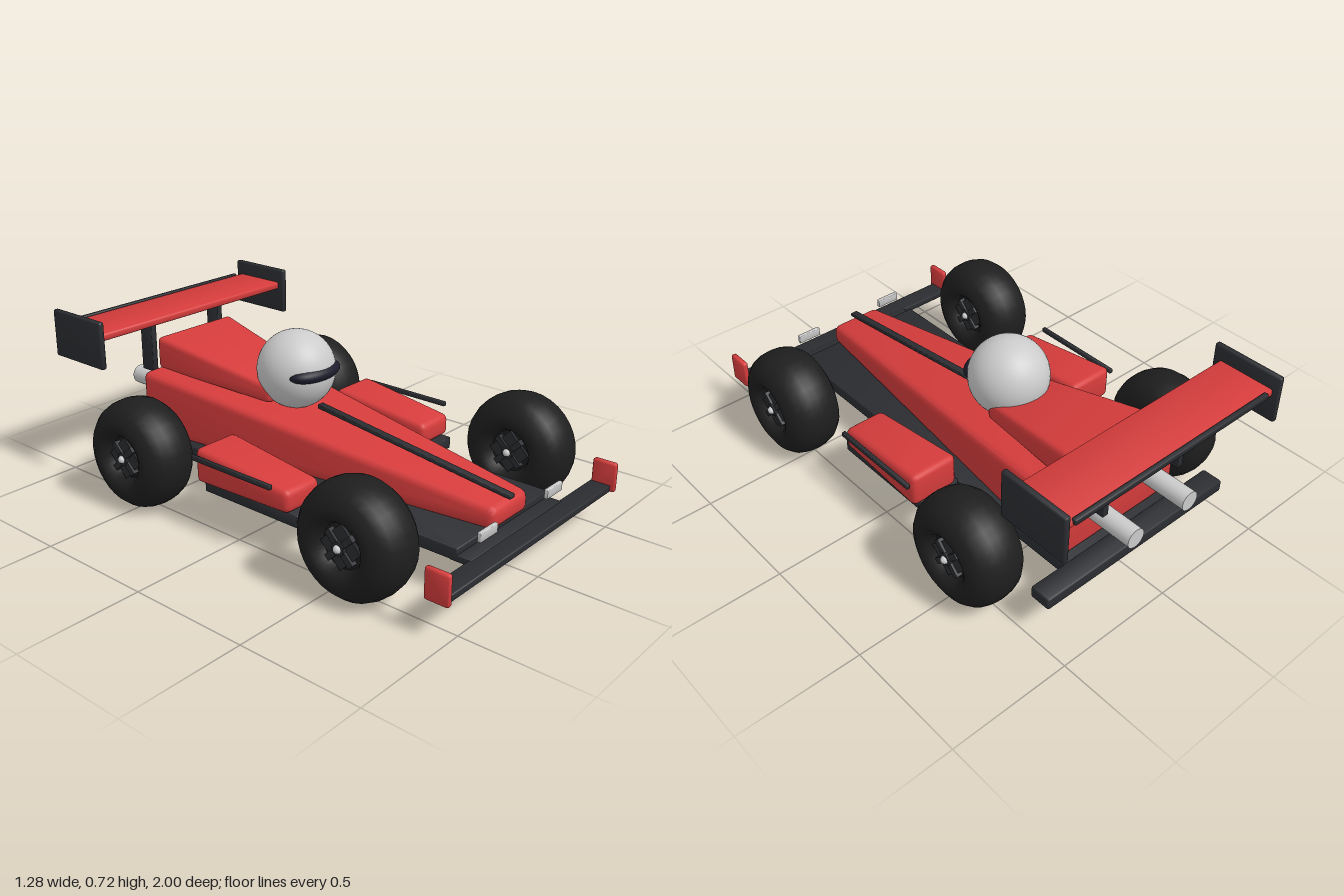
import * as THREE from 'three';
import { RoundedBoxGeometry } from 'three/addons/geometries/RoundedBoxGeometry.js';
import { toCreasedNormals } from 'three/addons/utils/BufferGeometryUtils.js';

const mat = (color) => new THREE.MeshStandardMaterial({ color });
const red = mat(0xd63c3c), dark = mat(0x2b2d31), rubber = mat(0x1e1e1f);
const white = mat(0xe8e8e8), grey = mat(0xcccccc), glass = mat(0x1c1c2c);

// Rounded box between a back and a front section [x0, x1, y0, y1]; bevel size stays constant
function taperedBox(back, front, z0, z1, r) {
  const g = new RoundedBoxGeometry(1, 1, 1, 2, r);
  const p = g.attributes.position;
  const place = (v, lo, hi) => (v > 0 ? hi + v - 0.5 : lo + v + 0.5);
  for (let i = 0; i < p.count; i++) {
    const z = place(p.getZ(i), z0, z1);
    const s = back.map((b, k) => THREE.MathUtils.lerp(b, front[k], (z - z0) / (z1 - z0)));
    p.setXYZ(i, place(p.getX(i), s[0], s[1]), place(p.getY(i), s[2], s[3]), z);
  }
  return toCreasedNormals(g, 0.7);
}

const straightBox = (x0, x1, y0, y1, z0, z1, r = 0.005) =>
  taperedBox([x0, x1, y0, y1], [x0, x1, y0, y1], z0, z1, r);

function add(parent, name, geometry, material, x = 0, y = 0, z = 0) {
  const mesh = new THREE.Mesh(geometry, material);
  mesh.name = name;
  mesh.position.set(x, y, z);
  parent.add(mesh);
  return mesh;
}

// Wheel centred on its hub, axle along x
function createWheel() {
  const wheel = new THREE.Group();
  wheel.name = 'wheel';
  const half = [[0.085, 0.075], [0.1, 0.105], [0.125, 0.12], [0.15, 0.118],
    [0.185, 0.1], [0.21, 0.07], [0.221, 0.035]];
  const profile = [
    ...half.map(([r, w]) => new THREE.Vector2(r, -w)),
    new THREE.Vector2(0.224, 0),
    ...half.slice().reverse().map(([r, w]) => new THREE.Vector2(r, w)),
  ];
  add(wheel, 'tire', new THREE.LatheGeometry(profile, 32).rotateZ(Math.PI / 2), rubber);
  add(wheel, 'rim', new THREE.CylinderGeometry(0.09, 0.09, 0.15, 24).rotateZ(Math.PI / 2), rubber);
  add(wheel, 'rimPlate', new THREE.CylinderGeometry(0.088, 0.088, 0.18, 4).rotateZ(Math.PI / 2), dark);
  for (let i = 0; i < 2; i++) {
    const spoke = add(wheel, 'spoke', new THREE.BoxGeometry(0.2, 0.025, 0.15), dark);
    spoke.rotation.x = Math.PI / 4 + i * Math.PI / 2;
  }
  add(wheel, 'axle', new THREE.CylinderGeometry(0.026, 0.026, 0.21, 12).rotateZ(Math.PI / 2), dark);
  for (const s of [-1, 1]) {
    add(wheel, 'hubCap', new THREE.SphereGeometry(0.016, 16, 10), white, s * 0.105);
  }
  return wheel;
}

// Parts repeated on both sides, built for +x
function createSide() {
  const side = new THREE.Group();
  side.name = 'side';
  add(side, 'sidePod', taperedBox([0.31, 0.52, 0.19, 0.335], [0.32, 0.5, 0.19, 0.28], -0.21, 0.25, 0.025), red);
  add(side, 'sidePodFloor', straightBox(0.29, 0.48, 0.14, 0.19, -0.2, 0.277), dark);
  add(side, 'sideRail', straightBox(0.527, 0.545, 0.292, 0.312, -0.205, 0.205), dark);
  add(side, 'frontEndPlate', straightBox(0.54, 0.565, 0.135, 0.257, 0.9, 1, 0.01), red);
  add(side, 'headlight', straightBox(0.165, 0.27, 0.225, 0.262, 0.907, 0.923, 0.003), grey);
  add(side, 'rearEndPlate', straightBox(0.515, 0.54, 0.53, 0.727, -1, -0.705, 0.008), dark);
  add(side, 'wingSupport', straightBox(0.178, 0.207, 0.415, 0.645, -0.86, -0.79), dark);
  add(side, 'exhaust', new THREE.CylinderGeometry(0.04, 0.04, 0.2, 24).rotateX(Math.PI / 2), white, 0.14, 0.35, -0.86);
  for (const z of [0.59, -0.515]) {
    const wheel = createWheel();
    wheel.position.set(0.52, 0.23, z);
    side.add(wheel);
  }
  return side;
}

// Mirror a group by flipping x and the winding of its geometry placement
function mirrored(group) {
  const copy = group.clone();
  copy.scale.x = -1;
  return copy;
}

export function createModel() {
  const car = new THREE.Group();
  car.name = 'racingCar';

  // Floor and wings
  add(car, 'floor', straightBox(-0.3, 0.3, 0.14, 0.19, -0.83, 0.85), dark);
  add(car, 'frontLip', straightBox(-0.3, 0.3, 0.138, 0.165, 0.82, 0.91), dark);
  add(car, 'frontWing', straightBox(-0.55, 0.55, 0.135, 0.163, 0.897, 0.983), dark);
  add(car, 'rearBar', straightBox(-0.46, 0.46, 0.143, 0.195, -0.87, -0.78, 0.01), dark);
  add(car, 'rearWing', straightBox(-0.525, 0.525, 0.635, 0.667, -0.975, -0.735, 0.01), red);
  add(car, 'wingFlap', straightBox(-0.48, 0.48, 0.65, 0.674, -0.987, -0.967), dark);

  // Wedge body, engine cover and centre stripe
  add(car, 'body', taperedBox([-0.3, 0.3, 0.185, 0.453], [-0.115, 0.115, 0.185, 0.27], -0.755, 0.875, 0.03), red);
  add(car, 'engineCover', taperedBox([-0.212, 0.212, 0.44, 0.582], [-0.135, 0.135, 0.4, 0.475], -0.755, -0.18, 0.022), red);
  add(car, 'stripe', taperedBox([-0.016, 0.016, 0.388, 0.406], [-0.016, 0.016, 0.275, 0.291], -0.03, 0.875, 0.004), dark);

  // Driver's helmet
  add(car, 'helmet', new THREE.SphereGeometry(0.16, 40, 28), white, 0, 0.525, -0.155);
  add(car, 'visor', new THREE.SphereGeometry(1, 36, 20).scale(0.135, 0.041, 0.08), glass, 0, 0.535, -0.065);

  const left = createSide();
  const right = mirrored(left);
  left.name = 'leftSide';
  right.name = 'rightSide';
  car.add(left, right);
  return car;
}
